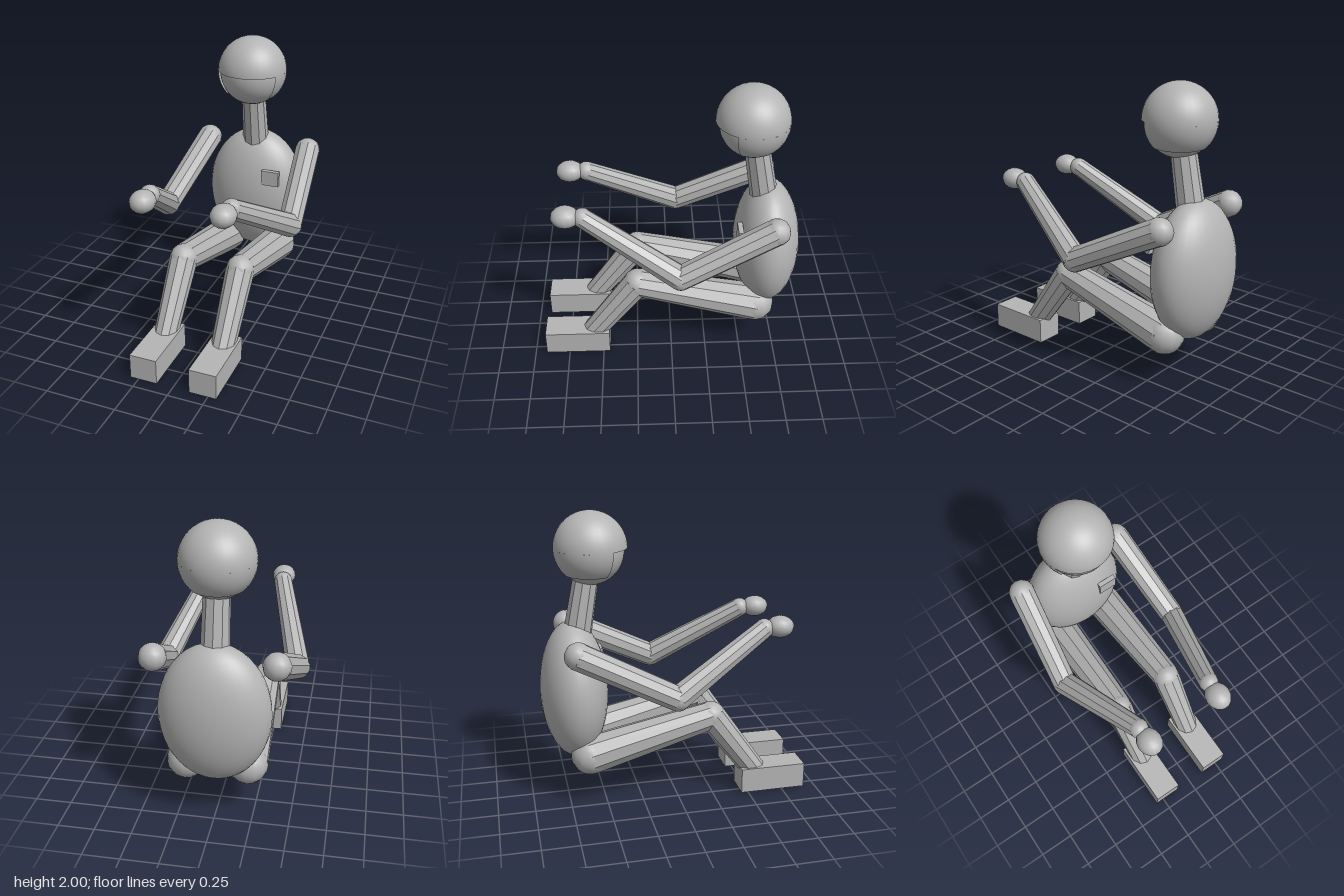
import * as THREE from 'three';

const grey = new THREE.MeshStandardMaterial({ color: 0xb4b4b4, side: THREE.DoubleSide });
grey.name = 'plainGrey';

const V = (x, y, z) => new THREE.Vector3(x, y, z);

function add(group, name, geometry, position) {
  const mesh = new THREE.Mesh(geometry, grey);
  mesh.name = name;
  mesh.position.copy(position);
  group.add(mesh);
  return mesh;
}

// Tapered ten-sided rod from a to b, with hard facets
function rod(group, name, a, b, ra, rb) {
  const geo = new THREE.CylinderGeometry(rb, ra, a.distanceTo(b), 10).toNonIndexed();
  geo.computeVertexNormals();
  const mesh = add(group, name, geo, a.clone().lerp(b, 0.5));
  mesh.quaternion.setFromUnitVectors(V(0, 1, 0), b.clone().sub(a).normalize());
}

// Smooth ellipsoid
function ball(group, name, p, rx, ry = rx, rz = rx, w = 12, h = 10) {
  add(group, name, new THREE.SphereGeometry(1, w, h).scale(rx, ry, rz), p);
}

function createHead() {
  const head = new THREE.Group();
  head.name = 'head';
  const c = V(0, 1.755, -0.54), r = 0.246;
  ball(head, 'face', V(0, 1.74, -0.54), 0.23, 0.23, 0.225, 32, 24);
  // Outer shell: full dome above, open at the face below
  add(head, 'hairTop', new THREE.SphereGeometry(r, 32, 12, 0, Math.PI * 2, 0, Math.PI / 2), c);
  const open = Math.PI / 3; // half angle of the face opening, measured from +z
  add(head, 'hairBack', new THREE.SphereGeometry(r, 24, 8,
    Math.PI / 2 + open, Math.PI * 2 - 2 * open, Math.PI / 2, Math.PI / 4), c);
  return head;
}

function createArm(s) {
  const arm = new THREE.Group();
  arm.name = s > 0 ? 'leftArm' : 'rightArm';
  const shoulder = V(s * 0.393, 1.14, -0.685);
  const elbow = V(s * 0.466, 0.828, -0.055);
  const wrist = V(s * 0.28, 1.208, 0.585);
  rod(arm, 'upperArm', shoulder, elbow, 0.092, 0.085);
  rod(arm, 'forearm', elbow, wrist, 0.085, 0.067);
  ball(arm, 'shoulder', shoulder, 0.092);
  ball(arm, 'elbow', elbow, 0.085);
  ball(arm, 'wrist', wrist, 0.067);
  ball(arm, 'hand', V(s * 0.273, 1.213, 0.7), 0.085, 0.075, 0.097, 14, 10);
  return arm;
}

function createLeg(s) {
  const leg = new THREE.Group();
  leg.name = s > 0 ? 'leftLeg' : 'rightLeg';
  const hip = V(s * 0.207, 0.365, -0.605);
  const knee = V(s * 0.213, 0.58, 0.24);
  const ankle = V(s * 0.213, 0.13, 0.57);
  rod(leg, 'thigh', hip, knee, 0.135, 0.1);
  rod(leg, 'shin', knee, ankle, 0.1, 0.083);
  ball(leg, 'hip', hip, 0.135);
  ball(leg, 'knee', knee, 0.1);
  add(leg, 'foot', new THREE.BoxGeometry(0.192, 0.178, 0.465), V(s * 0.213, 0.089, 0.685));
  return leg;
}

export function createModel() {
  const model = new THREE.Group();
  model.name = 'seatedFigure';

  // Body and neck
  ball(model, 'torso', V(0, 0.78, -0.682), 0.37, 0.48, 0.232, 32, 24);
  rod(model, 'neck', V(0, 1.19, -0.642), V(0, 1.56, -0.575), 0.096, 0.086);
  add(model, 'chestPatch', new THREE.BoxGeometry(0.132, 0.112, 0.035), V(0.174, 0.96, -0.477));

  model.add(createHead());
  for (const s of [1, -1]) model.add(createArm(s), createLeg(s));
  return model;
}
